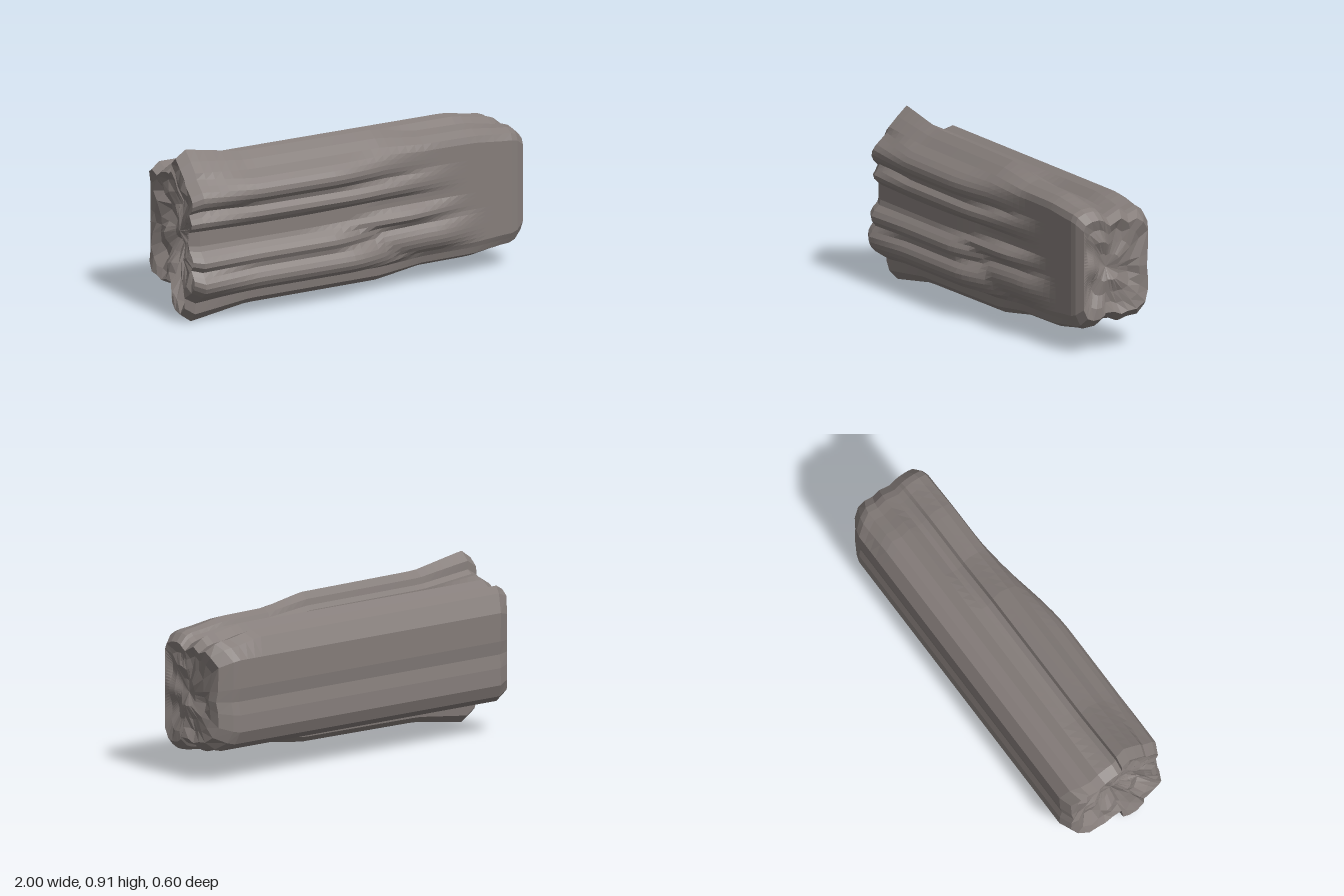
import * as THREE from 'three';

const { lerp, clamp, smoothstep, mapLinear } = THREE.MathUtils;

// Slab fins as [z, y] at the thick end, then [z, y] at the thin end
const upperFin = [
  [-0.035, 0.8, -0.04, 0.73], [-0.002, 0.8, -0.01, 0.715], [0.024, 0.82, 0.02, 0.735],
  [0.026, 0.865, 0.035, 0.75], [0.075, 0.91, 0.07, 0.76], [0.13, 0.86, 0.12, 0.755], [0.18, 0.81, 0.165, 0.735],
];
const lowerFin = [[0.18, 0.11, 0.165, 0.17], [0.178, 0.05, 0.15, 0.14], [0.13, 0, 0.11, 0.125], [0.075, 0.01, 0.06, 0.13], [0.035, 0.05, 0.03, 0.15]];

// Rear block as [z, y], from the lower notch round the back to the upper notch
const rearBlock = [
  [0.022, 0.165], [-0.04, 0.165], [-0.09, 0.145], [-0.14, 0.16], [-0.2, 0.165], [-0.265, 0.205],
  [-0.295, 0.27], [-0.294, 0.36], [-0.283, 0.43], [-0.293, 0.5], [-0.296, 0.65], [-0.25, 0.742],
  [-0.2, 0.772], [-0.14, 0.75], [-0.09, 0.785],
];

// Front ridges as [centre y, half width, height, x where the fade starts, x where it ends]
const ridges = [
  [0.68, 0.095, 0.097, -0.2, 0.52],
  [0.56, 0.07, 0.088, -0.1, 0.66],
  [0.395, 0.055, 0.06, 0.25, 0.7],
  [0.34, 0.09, 0.105, -0.2, 0.3],
  [0.225, 0.11, 0.12, -0.1, 0.4],
  [0.265, 0.09, 0.052, 0.45, 0.78],
];

// How far the fins have shrunk, in steps along x
const taper = [[-0.94, 0], [-0.62, 0.38], [0.15, 0.42], [0.4, 0.72], [0.7, 0.75], [0.9, 1]];

function finTaper(x) {
  for (let i = 1; i < taper.length; i++) {
    const [x0, t0] = taper[i - 1], [x1, t1] = taper[i];
    if (x <= x1) return mapLinear(Math.max(x, x0), x0, x1, t0, t1);
  }
  return 1;
}

// Depth of the front face: a flat plane, a broad swell and the ridges
function frontZ(x, y) {
  let relief = 0.05 * (1 - smoothstep(x, -0.4, 0.55)) * smoothstep(y, 0.13, 0.2) * (1 - smoothstep(y, 0.74, 0.8));
  for (const [centre, width, height, start, end] of ridges) {
    const bump = Math.max(0, 1 - ((y - centre) / width) ** 2);
    relief = Math.max(relief, height * bump * (1 - smoothstep(x, start, end)));
  }
  return 0.18 + relief;
}

// Closed outline at x: top fin, down the front, lower fin, round the back
function section(x) {
  const t = finTaper(x);
  const finPoint = ([zA, yA, zB, yB]) => [lerp(zA, zB, t), lerp(yA, yB, t)];
  const front = [];
  const rows = 24;
  for (let i = 0; i <= rows; i++) {
    const y = lerp(lerp(0.78, 0.7, t), lerp(0.135, 0.2, t), i / rows);
    front.push([frontZ(x, y), y]);
  }
  const lowering = 0.03 * smoothstep(x, 0.7, 0.92);
  const rear = rearBlock.map(([z, y]) => [z, y > 0.7 ? y - lowering : y]);
  return [...upperFin.map(finPoint), ...front, ...lowerFin.map(finPoint), ...rear];
}

// Uneven lumps of the broken ends, from -1 to 1
const lumps = (y, z) => Math.sin(27 * y + 9 * z + 1) * Math.cos(29 * z - 7 * y);

function logGeometry() {
  // Rings as [x, scale, roughness]: pitted end, long body, rough end
  const rings = [[-0.92, 0, 0.03], [-0.925, 0.2, 0.03], [-0.935, 0.4, 0.03], [-0.95, 0.6, 0.03], [-0.975, 0.78, 0.02], [-1, 0.91, 0]];
  const steps = 36;
  for (let i = 0; i <= steps; i++) rings.push([lerp(-0.945, 0.92, i / steps), 1, 0]);
  rings.push([0.955, 0.96, 0], [1, 0.83, 0], [0.985, 0.65, 0.015], [0.98, 0.45, 0.02], [0.98, 0.22, 0.02], [0.975, 0, 0.02]);

  const n = section(0).length, positions = [], indices = [];
  for (const [x, scale, rough] of rings) {
    for (const [pz, py] of section(x)) {
      const y = 0.45 + (py - 0.45) * scale;
      const z = pz * scale;
      // the rear corners are cut back a little at both ends
      const inset = 1 - 0.055 * smoothstep(-z, 0.2, 0.3);
      positions.push(clamp(x * inset + rough * lumps(y, z), -1, 1), y, z);
    }
  }
  for (let i = 0; i < rings.length - 1; i++) {
    for (let j = 0; j < n; j++) {
      const a = i * n + j, b = i * n + (j + 1) % n, c = a + n, d = b + n;
      if (rings[i][1] > 0) indices.push(a, b, c);
      if (rings[i + 1][1] > 0) indices.push(b, d, c);
    }
  }
  const geometry = new THREE.BufferGeometry();
  geometry.setAttribute('position', new THREE.Float32BufferAttribute(positions, 3));
  geometry.setIndex(indices);
  // Unshared corners give every face its own flat normal
  const faceted = geometry.toNonIndexed();
  faceted.computeVertexNormals();
  return faceted;
}

export function createModel() {
  const group = new THREE.Group();
  group.name = 'weatheredLog';
  const bark = new THREE.MeshStandardMaterial({ color: 0x857d7a });
  bark.name = 'greyBark';
  const log = new THREE.Mesh(logGeometry(), bark);
  log.name = 'logBody';
  group.add(log);
  return group;
}
